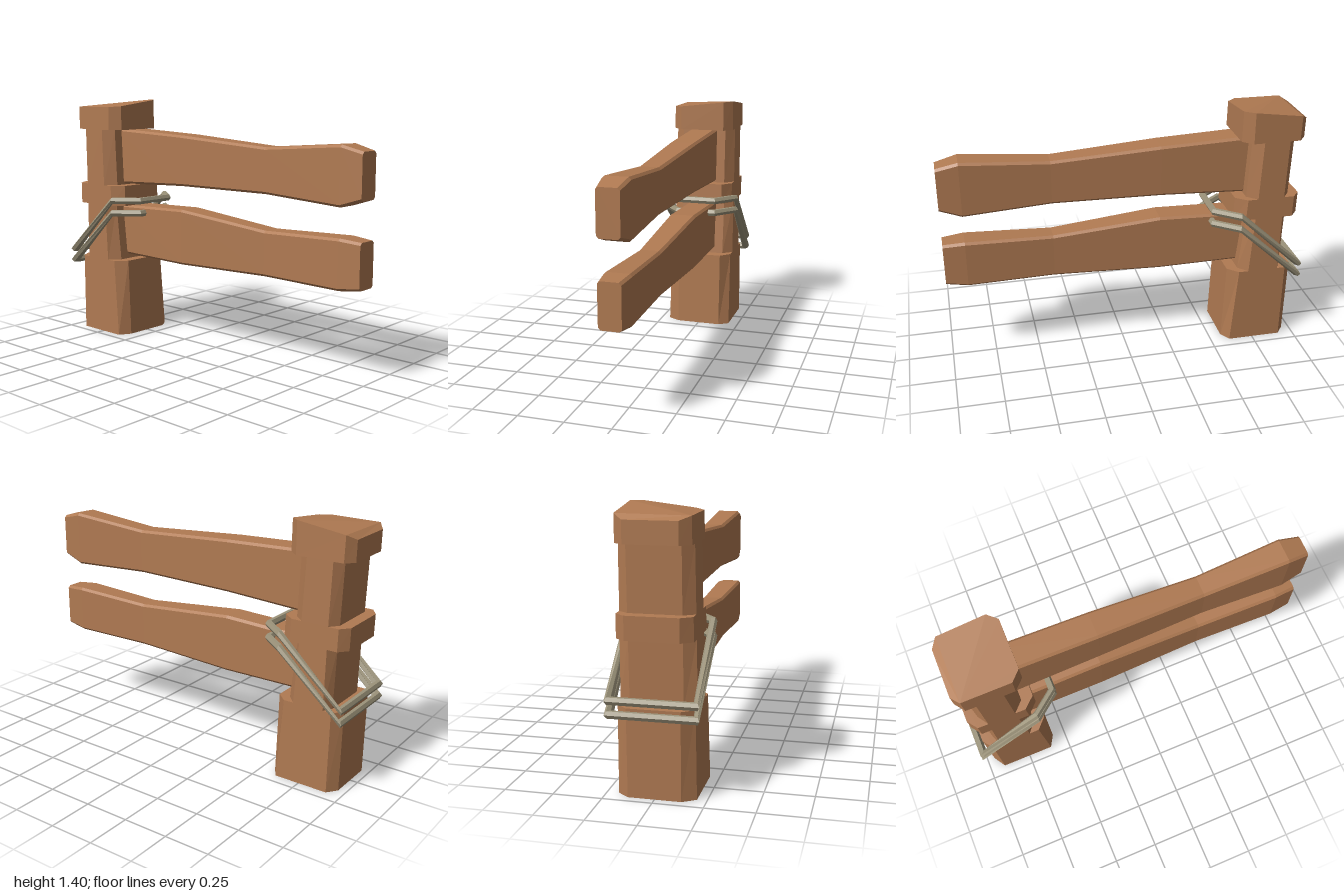
import * as THREE from 'three';

// Skin a list of rings (each wound counter-clockwise about the direction of travel)
function loft(rings, closed = false) {
  const n = rings[0].length, m = rings.length, pos = [];
  const tri = (a, b, c) => pos.push(...a, ...b, ...c);
  for (let k = 0; k < (closed ? m : m - 1); k++) {
    const a = rings[k], b = rings[(k + 1) % m];
    for (let i = 0; i < n; i++) {
      const j = (i + 1) % n;
      tri(a[i], a[j], b[j]);
      tri(a[i], b[j], b[i]);
    }
  }
  if (!closed) {
    const s = rings[0], e = rings[m - 1];
    for (let i = 1; i < n - 1; i++) {
      tri(s[0], s[i + 1], s[i]);
      tri(e[0], e[i], e[i + 1]);
    }
  }
  const g = new THREE.BufferGeometry();
  g.setAttribute('position', new THREE.Float32BufferAttribute(pos, 3));
  g.computeVertexNormals();
  return g;
}

// Chamfered post section: outer x limits, front face x limits, height (one value or one per corner)
function postRing(y, xl, fl, fr, xr) {
  const t = Math.min(y, 1.37) / 1.37;
  const zf = 0.2 - 0.015 * t, zb = -0.19 + 0.01 * t, zc = 0.133;
  return [[fl, zf], [fr, zf], [xr, zc], [xr, -zc], [fr, zb], [fl, zb], [xl, -zc], [xl, zc]]
    .map(([x, z]) => [x, y, z]);
}

// Bevelled beam section at x: bottom, top, half width
function beamRing([x, b, t, w]) {
  const c = 0.013;
  return [[t, w - c], [t - c, w], [b + c, w], [b, w - c], [b, c - w], [b + c, -w], [t - c, -w], [t, c - w]]
    .map(([y, z]) => [x, y, z]);
}

// Closed rope loop with mitred corners
function ropeLoop(yLow, yHigh) {
  const path = [
    [-0.5, yHigh, -0.115], [-0.5, yHigh, 0.115], [-0.63, yHigh, 0.218],
    [-0.983, yLow, 0.212], [-0.983, yLow, -0.212], [-0.63, yHigh, -0.218],
  ];
  const side = (a, b) => new THREE.Vector2(b[2] - a[2], a[0] - b[0]).normalize();
  const n = path.length, r = 0.019, sides = 6;
  return loft(path.map((p, i) => {
    const s0 = side(path[(i + n - 1) % n], p), s1 = side(p, path[(i + 1) % n]);
    const s = s0.clone().add(s1).divideScalar(1 + s0.dot(s1));
    return Array.from({ length: sides }, (_, k) => {
      const a = (k / sides) * Math.PI * 2, u = Math.cos(a) * r, v = Math.sin(a) * r * 1.1;
      return [p[0] + s.x * u, p[1] + v, p[2] + s.y * u];
    });
  }), true);
}

export function createModel() {
  const model = new THREE.Group();
  model.name = 'fencePost';
  const wood = new THREE.MeshStandardMaterial({ color: 0xb07a52, flatShading: true });
  wood.name = 'wood';
  const rope = new THREE.MeshStandardMaterial({ color: 0x9c937a, flatShading: true });
  rope.name = 'rope';
  const add = (name, geometry, material) => {
    const mesh = new THREE.Mesh(geometry, material);
    mesh.name = name;
    model.add(mesh);
  };

  // Post: wide blocks alternating with notched necks
  const post = {
    postBase: [[0, -0.957, -0.914, -0.61, -0.572], [0.45, -0.965, -0.92, -0.645, -0.587]],
    lowerNeck: [[0.45, -0.9, -0.873, -0.7, -0.65], [0.78, -0.912, -0.879, -0.722, -0.685]],
    postCollar: [[0.78, -0.977, -0.935, -0.665, -0.605], [0.9, -0.98, -0.938, -0.672, -0.61]],
    upperNeck: [[0.9, -0.918, -0.88, -0.73, -0.675], [1.23, -0.93, -0.89, -0.745, -0.69]],
    postCap: [[1.23, -0.986, -0.946, -0.684, -0.63], [1.36, -0.988, -0.95, -0.684, -0.632]],
  };
  for (const [name, sections] of Object.entries(post)) {
    const rings = sections.map((s) => postRing(...s));
    if (name === 'postCap') {
      // Slanted top, highest at the back
      const heights = [1.363, 1.365, 1.37, 1.402, 1.405, 1.368, 1.342, 1.342];
      rings[1].forEach((p, i) => { p[1] = heights[i]; });
    }
    add(name, loft(rings), wood);
  }

  // Rails: x, bottom, top, half width
  const upper = [[-0.74, 0.903, 1.235, 0.08], [-0.2, 0.926, 1.214, 0.077],
    [0.4, 0.929, 1.176, 0.062], [0.88, 0.904, 1.214, 0.073], [1, 0.943, 1.184, 0.06]];
  const lower = [[-0.72, 0.478, 0.775, 0.08], [-0.2, 0.47, 0.79, 0.077],
    [0.4, 0.486, 0.734, 0.062], [0.88, 0.483, 0.75, 0.073], [1, 0.498, 0.74, 0.06]];
  add('upperRail', loft(upper.map(beamRing)), wood);
  add('lowerRail', loft(lower.map(beamRing)), wood);

  // Rope loops slung around the post
  add('upperRope', ropeLoop(0.488, 0.818), rope);
  add('lowerRope', ropeLoop(0.42, 0.744), rope);
  return model;
}
